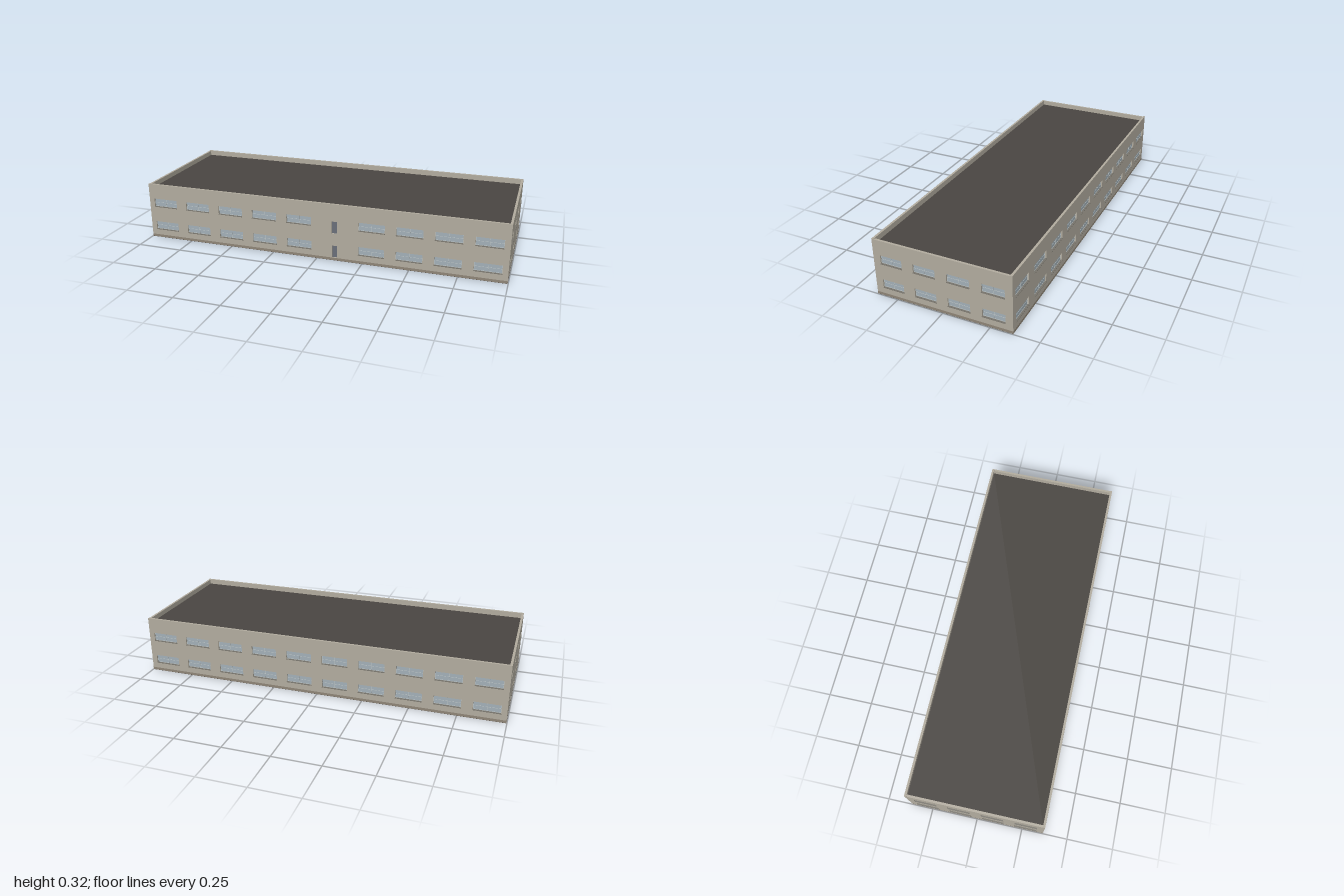
import * as THREE from 'three';

const HX = 0.997, HZ = 0.3665;          // outer wall faces
const T = 0.012;                        // wall thickness
const BASE = 0.015, STOREY = 0.136, TOP = 0.313;
const WIN_Y = 0.0485, WIN_H = 0.0465;   // sill height and window height
const DOOR_W = 0.03, DOOR_H = 0.068;

const mat = (color) => new THREE.MeshStandardMaterial({ color });
const M = {
  wall: mat(0xb2ac9f), plinth: mat(0x8f8577), roof: mat(0x4a4642), frame: mat(0xbcc4c5),
  glass: mat(0xa3b0b8), sill: mat(0x77746c), door: mat(0x6a6f79),
};

function box(parent, name, material, w, h, d, x, y, z) {
  const m = new THREE.Mesh(new THREE.BoxGeometry(w, h, d), material);
  m.name = name;
  m.position.set(x, y, z);
  parent.add(m);
  return m;
}

function rectangle(Type, x, y, w, h) {
  const p = new Type();
  p.moveTo(x, y);
  p.lineTo(x + w, y);
  p.lineTo(x + w, y + h);
  p.lineTo(x, y + h);
  p.closePath();
  return p;
}

// Recessed window with frame, mullion, transom and projecting sill; outer wall face is z = 0
function makeWindow(w) {
  const g = new THREE.Group();
  g.name = 'window';
  const f = 0.002, h = WIN_H, z = -0.009;
  box(g, 'glass', M.glass, w, h, 0.002, 0, h / 2, z - 0.001);
  for (const s of [-1, 1]) {
    box(g, 'frameSide', M.frame, f, h, 0.003, s * (w - f) / 2, h / 2, z);
    box(g, 'frameRail', M.frame, w - 2 * f, f, 0.003, 0, h / 2 + s * (h - f) / 2, z);
  }
  box(g, 'mullion', M.frame, 0.0016, h - 2 * f, 0.003, 0, h / 2, z);
  box(g, 'transom', M.frame, w - 2 * f, 0.0012, 0.0024, 0, h / 2, z);
  box(g, 'sill', M.sill, w + 0.002, 0.002, 0.012, 0, -0.0005, -0.003);
  return g;
}

// One facade with two storeys of openings, lying in the XY plane with its face at z = 0
function makeFacade(name, length, bays, span, winW, doorBay = -1) {
  const g = new THREE.Group();
  g.name = name;
  const shape = rectangle(THREE.Shape, -length / 2, BASE, length, TOP - BASE);
  for (let floor = 0; floor < 2; floor++) {
    for (let i = 0; i < bays; i++) {
      const x = (i + 0.5 - bays / 2) * span / bays;
      const y0 = floor * STOREY;
      if (i === doorBay) {
        const y = BASE + y0 + 0.001;
        shape.holes.push(rectangle(THREE.Path, x - DOOR_W / 2, y, DOOR_W, DOOR_H));
        box(g, 'door', M.door, DOOR_W, DOOR_H, 0.003, x, y + DOOR_H / 2, -0.0095);
      } else {
        shape.holes.push(rectangle(THREE.Path, x - winW / 2, WIN_Y + y0, winW, WIN_H));
        const win = makeWindow(winW);
        win.position.set(x, WIN_Y + y0, 0);
        g.add(win);
      }
    }
  }
  const geo = new THREE.ExtrudeGeometry(shape, { depth: T, bevelEnabled: false });
  geo.translate(0, 0, -T);
  const wall = new THREE.Mesh(geo, M.wall);
  wall.name = 'wall';
  g.add(wall);
  return g;
}

export function createModel() {
  const model = new THREE.Group();
  model.name = 'building';

  // Long facades: only the front has the doors
  const front = makeFacade('frontFacade', 2 * HX, 10, 2 * HX, 0.14, 5);
  front.position.z = HZ;
  const back = makeFacade('backFacade', 2 * HX, 10, 2 * HX, 0.14);
  back.position.z = -HZ;
  back.rotation.y = Math.PI;
  model.add(front, back);

  // End facades fit between the long ones
  for (const s of [-1, 1]) {
    const end = makeFacade(s > 0 ? 'leftFacade' : 'rightFacade', 2 * (HZ - T), 4, 0.717, 0.118);
    end.position.x = s * HX;
    end.rotation.y = s * Math.PI / 2;
    model.add(end);
    // Thin coping along the long parapets
    box(model, 'coping', M.wall, 2 * HX, 0.0025, T, 0, TOP + 0.00125, s * (HZ - T / 2));
  }

  // Plinth, underside slab and sunken flat roof
  box(model, 'plinth', M.plinth, 2 * HX + 0.001, BASE - 0.001, 2 * HZ + 0.001, 0, (BASE + 0.001) / 2, 0);
  box(model, 'floorSlab', M.roof, 2 * HX, 0.001, 2 * HZ, 0, 0.0005, 0);
  box(model, 'roofDeck', M.roof, 2 * (HX - T), 0.01, 2 * (HZ - T), 0, 0.282, 0);
  return model;
}
